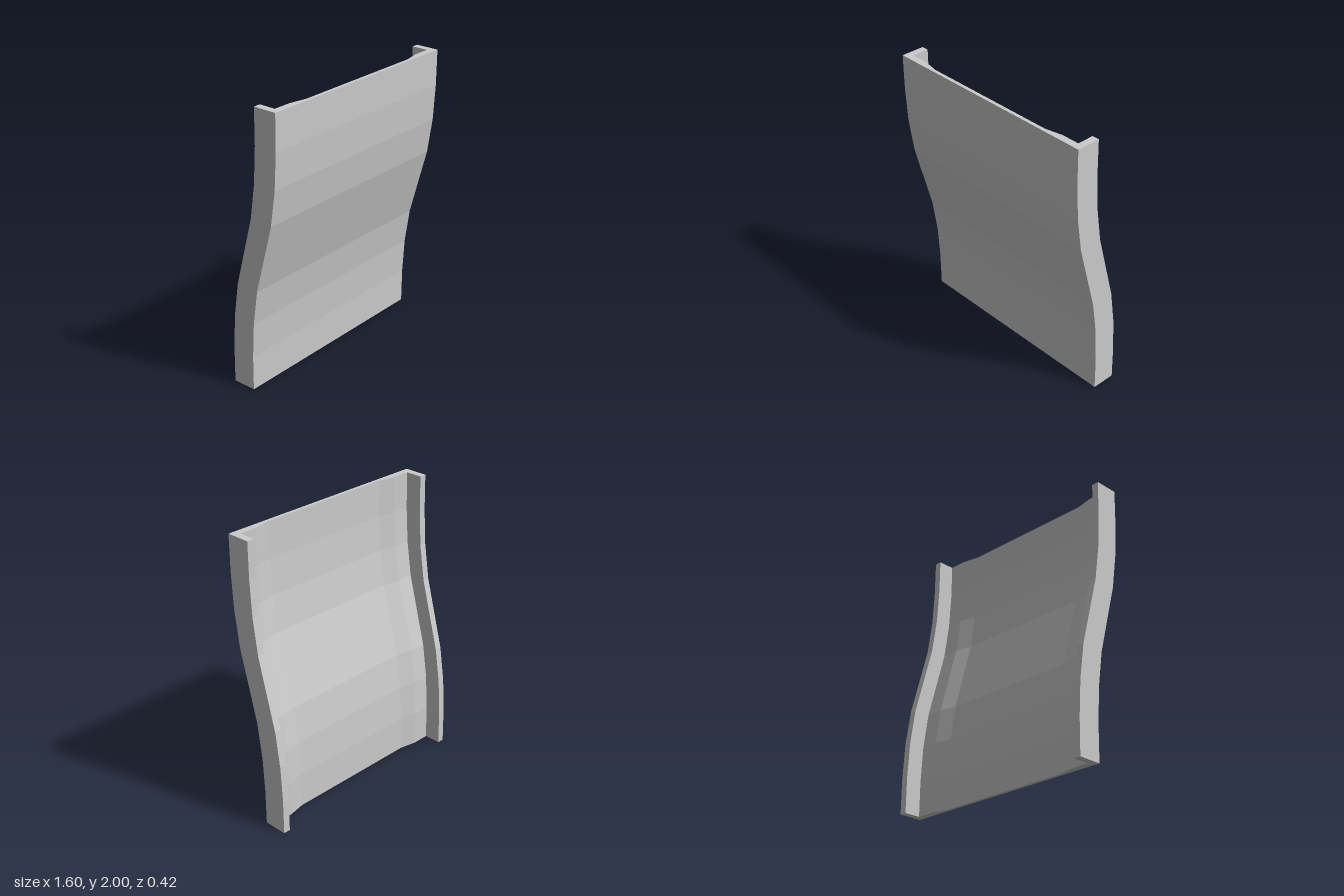
import * as THREE from 'three';

const HEIGHT = 2;
// Half of the channel-shaped cross-section: [x, distance behind the front face]
const HALF_SECTION = [
  [0.8, 0], [0.8, 0.17], [0.75, 0.17], [0.75, 0.05], [0.625, 0.05], [0.5, 0.025],
];
// Front-face z at equal height steps, bottom to top (gentle S-bend)
const FRONT_Z = [-0.04, -0.037, -0.021, 0.017, 0.085, 0.153, 0.191, 0.207, 0.21];

function createPanelGeometry() {
  const mirrored = HALF_SECTION.map(([x, d]) => [-x, d]).reverse();
  const outline = [...HALF_SECTION, ...mirrored].map(([x, d]) => new THREE.Vector2(x, d));
  const steps = FRONT_Z.length - 1;
  const geometry = new THREE.ExtrudeGeometry(new THREE.Shape(outline), {
    depth: HEIGHT, steps, bevelEnabled: false,
  });
  geometry.rotateX(-Math.PI / 2); // extrude upwards, section depth towards -z

  // Shift each row along the S-bend
  const pos = geometry.attributes.position;
  for (let i = 0; i < pos.count; i++) {
    const row = Math.round((pos.getY(i) / HEIGHT) * steps);
    pos.setZ(i, pos.getZ(i) + FRONT_Z[row]);
  }
  geometry.computeVertexNormals();
  return geometry;
}

export function createModel() {
  const group = new THREE.Group();
  group.name = 'curvedPanel';
  const material = new THREE.MeshStandardMaterial({ color: 0xcccccc, flatShading: true });

  // Thin-centred panel with thicker borders and a rear flange on each side
  const panel = new THREE.Mesh(createPanelGeometry(), material);
  panel.name = 'flangedPanel';
  group.add(panel);
  return group;
}
